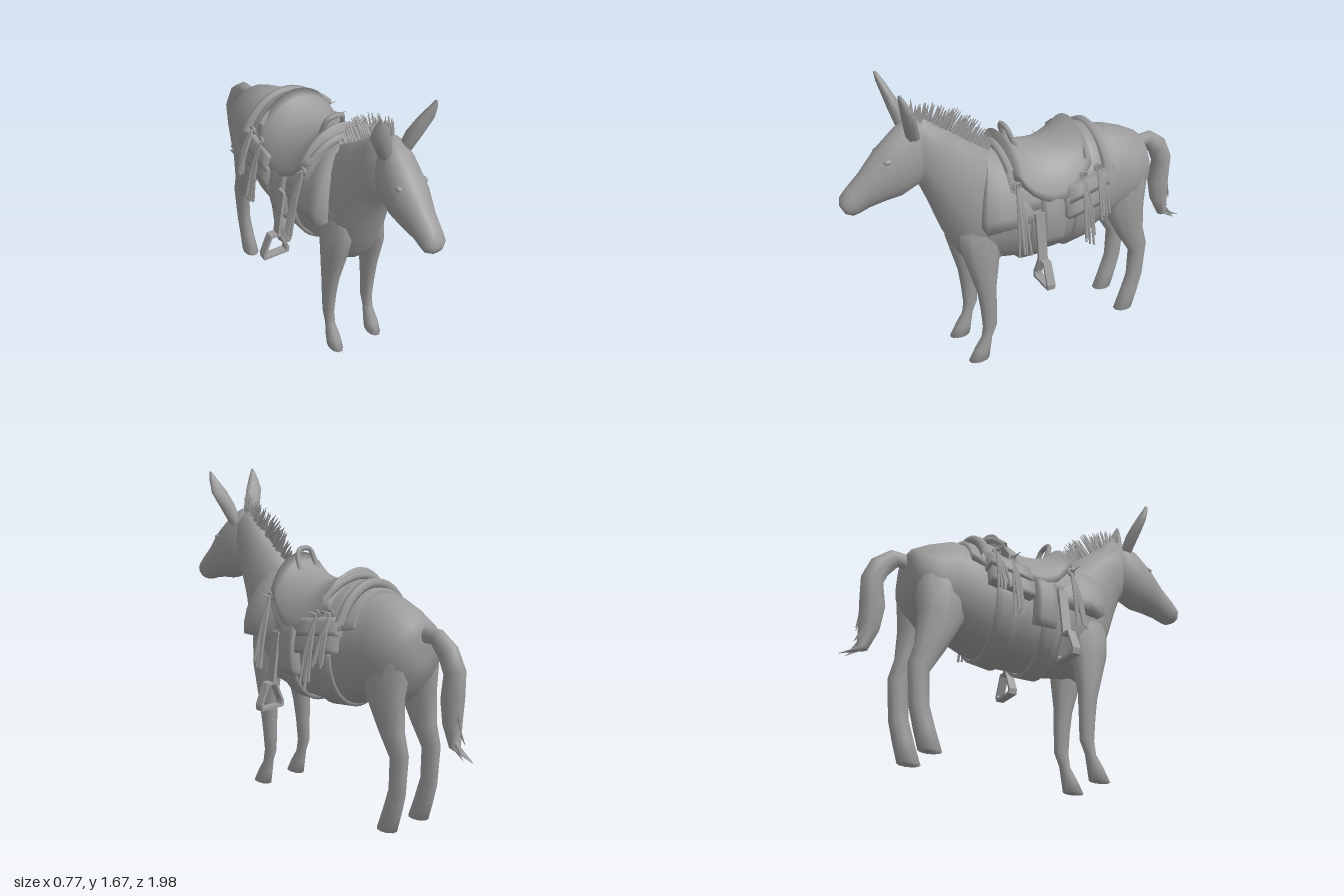
import * as THREE from 'three';

const grey = new THREE.MeshStandardMaterial({ color: 0x9c9c9c, side: THREE.DoubleSide });
const V = (x, y, z) => new THREE.Vector3(x, y, z);
const rad = THREE.MathUtils.degToRad;
let seed = 7;
const rnd = () => (seed = (seed * 16807) % 2147483647) / 2147483647;

function part(parent, name, geometry) {
  const m = new THREE.Mesh(geometry, grey);
  m.name = name;
  parent.add(m);
  return m;
}

// Skin over rows of points; closed rows get rounded end caps
function skin(rows, closed) {
  const n = rows[0].length, idx = [], pts = rows.flat();
  for (let i = 0; i < rows.length - 1; i++)
    for (let j = 0; j < (closed ? n : n - 1); j++) {
      const k = (j + 1) % n, a = i * n + j, b = i * n + k;
      idx.push(a, b, b + n, a, b + n, a + n);
    }
  if (closed) {
    const last = (rows.length - 1) * n;
    const mid = r => r.reduce((s, p) => s.add(p), V(0, 0, 0)).divideScalar(n);
    const c = pts.push(mid(rows[0]), mid(rows[rows.length - 1])) - 2;
    for (let j = 0; j < n; j++) {
      const k = (j + 1) % n;
      idx.push(c, k, j, c + 1, last + j, last + k);
    }
  }
  const g = new THREE.BufferGeometry().setFromPoints(pts);
  g.setIndex(idx);
  g.computeVertexNormals();
  return g;
}

// Ring: [z1, y1, z2, y2, halfWidth, x], an ellipse between two profile points
function loft(rings, side = 1, n = 14, shift = 0) {
  return skin(rings.map(([z1, y1, z2, y2, w, x = 0]) =>
    Array.from({ length: n }, (_, j) => {
      const t = j / n * Math.PI * 2, s = Math.sin(t) / 2;
      return V(x * side + shift + w * Math.cos(t), (y1 + y2) / 2 + (y2 - y1) * s, (z1 + z2) / 2 + (z2 - z1) * s);
    })), true);
}

const TRUNK = [
  [-.69, .86, -.695, 1.02, .08, -.02], [-.675, .75, -.67, 1.06, .145, -.02], [-.58, .64, -.58, 1.11, .182, -.02],
  [-.46, .63, -.47, 1.155, .197, -.018], [-.3, .57, -.3, 1.145, .21, -.01], [-.1, .55, -.1, 1.11, .22, 0],
  [.1, .55, .08, 1.13, .205, 0], [.25, .57, .2, 1.19, .175, 0], [.36, .61, .28, 1.19, .155, 0],
  [.43, .68, .34, 1.13, .135, 0], [.48, .8, .42, 1.02, .09, 0]];
const NECK = [[.37, .585, .1, .64, .11], [.43, .67, .1, .85, .15], [.485, .79, .12, 1.04, .155],
  [.525, .9, .2, 1.19, .137], [.56, 1.0, .34, 1.29, .108], [.6, 1.1, .46, 1.385, .087], [.68, 1.2, .57, 1.47, .075]];
const HEAD = [[.56, 1.2, .56, 1.45, .055], [.6, 1.12, .62, 1.48, .085], [.7, 1.08, .7, 1.44, .1],
  [.78, 1.075, .8, 1.35, .094], [.87, 1.06, .89, 1.25, .068], [.92, 1.045, .965, 1.18, .06],
  [.95, 1.043, 1.0, 1.14, .055], [.985, 1.06, 1.005, 1.1, .03]];
const FORELEG = [[.18, .98, .4, .98, .045, .075], [.19, .82, .445, .8, .062, .092], [.22, .67, .425, .67, .06, .108],
  [.25, .45, .355, .43, .043, .118], [.25, .32, .34, .32, .034, .12], [.25, .2, .33, .2, .027, .12],
  [.28, .13, .34, .13, .026, .12], [.29, .07, .385, .06, .036, .12], [.3, 0, .418, 0, .036, .12]];
const HINDLEG = [[-.66, 1.0, -.46, 1.0, .05, .08], [-.683, .86, -.4, .84, .083, .1], [-.662, .68, -.42, .68, .066, .115],
  [-.67, .52, -.515, .5, .047, .115], [-.7, .41, -.59, .38, .038, .115], [-.685, .2, -.585, .22, .033, .115],
  [-.66, .1, -.55, .11, .036, .115], [-.63, 0, -.512, 0, .042, .115]];
const EAR = [[.67, 1.39, .6, 1.39, .03, .05], [.7, 1.5, .63, 1.5, .049, .09], [.715, 1.57, .66, 1.565, .052, .12],
  [.73, 1.63, .69, 1.625, .028, .137], [.735, 1.675, .72, 1.675, .004, .145]];
const TAIL = [[-.66, 1.03, -.66, .95, .03, -.02], [-.78, 1.03, -.73, .95, .034, -.03], [-.87, .96, -.78, .89, .046, -.035],
  [-.92, .85, -.81, .82, .052, -.04], [-.92, .72, -.79, .7, .05, -.04], [-.915, .6, -.81, .58, .042, -.035],
  [-.915, .48, -.86, .475, .028, -.03], [-1.0, .43, -.99, .437, .005, -.025]];

// Point on the trunk at length z and angle t, pushed out by off
function onTrunk(z, deg, off) {
  const mid = r => (r[0] + r[2]) / 2;
  let i = 0;
  while (i < TRUNK.length - 2 && mid(TRUNK[i + 1]) < z) i++;
  const a = TRUNK[i], b = TRUNK[i + 1], f = (z - mid(a)) / (mid(b) - mid(a));
  const [, lo, , hi, w, x] = a.map((v, k) => v + (b[k] - v) * f), t = rad(deg);
  return V(x + (w + off) * Math.cos(t), (lo + hi) / 2 + ((hi - lo) / 2 + off) * Math.sin(t), z);
}

// Padded sheet draped on the trunk; angles and offset vary along it, lean slants the front edge
function drape(z0, z1, from, to, off, nz = 10, nt = 18, lean = 0) {
  const rows = [];
  for (let i = -1; i <= nz + 1; i++) {
    const f = THREE.MathUtils.clamp(i / nz, 0, 1), row = [];
    for (let j = -1; j <= nt + 1; j++) {
      const g = THREE.MathUtils.clamp(j / nt, 0, 1), t = from(f) + (to(f) - from(f)) * g;
      const edge = i < 0 || i > nz || j < 0 || j > nt;
      const p = onTrunk(z0 + (z1 - z0) * f, t, edge ? 0 : off(f, t));
      p.z += lean * f * Math.cos(rad(t)) ** 2;
      row.push(p);
    }
    rows.push(row);
  }
  return skin(rows, false);
}

// Rod or spike between two points
function rod(parent, name, a, b, r0, r1, sides = 5) {
  const m = part(parent, name, new THREE.CylinderGeometry(r1, r0, a.distanceTo(b), sides));
  m.position.copy(a).lerp(b, .5);
  m.quaternion.setFromUnitVectors(V(0, 1, 0), b.clone().sub(a).normalize());
}
const tube = (pts, r, n = 20) => new THREE.TubeGeometry(new THREE.CatmullRomCurve3(pts), n, r, 6);

function addAnimal(g) {
  part(g, 'trunk', loft(TRUNK, 1, 18));
  part(g, 'neck', loft(NECK));
  part(g, 'head', loft(HEAD));
  part(g, 'tail', loft(TAIL, 1, 9));
  for (const s of [1, -1]) {
    part(g, 'frontLeg', loft(FORELEG, s, 10, -.008));
    part(g, 'hindLeg', loft(HINDLEG, s, 10, -.023));
    part(g, 'ear', loft(EAR, s, 8));
    const eye = part(g, 'eye', new THREE.SphereGeometry(.022, 10, 8));
    eye.position.set(.07 * s, 1.31, .775);
    eye.scale.set(.6, .6, 1);
    const nostril = part(g, 'nostril', new THREE.TorusGeometry(.011, .004, 5, 10));
    nostril.position.set(.04 * s, 1.095, .98);
    nostril.rotation.y = .9 * s;
  }
  // Upright mane, from poll to withers
  const mane = new THREE.Group();
  mane.name = 'mane';
  g.add(mane);
  for (let i = 0; i < 80; i++) {
    const f = i / 79, x = (rnd() - .5) * .03;
    const a = V(x, 1.45 - .26 * f, .61 - .37 * f), len = .07 + .035 * rnd() + .2 * f * (.85 - f);
    const lean = .1 + .6 * Math.min(1, f * 2.5) + .3 * (rnd() - .5);
    const b = a.clone().add(V(x * .5 + (rnd() - .5) * .015, len * Math.cos(lean) + .012 * f, -len * Math.sin(lean)));
    rod(mane, 'maneTuft', a, b, .014, .002, 4);
  }
  // Loose hair at the tail end
  for (let i = 0; i < 12; i++) {
    const y = .74 - .022 * i, a = V(-.035 + (rnd() - .5) * .05, y, -.865 + (rnd() - .5) * .06);
    rod(g, 'tailHair', a, a.clone().add(V((rnd() - .5) * .03, -.13 + .006 * i, -.02 - .008 * i * rnd())), .015, .001, 4);
  }
}

function addTack(g) {
  const up = t => Math.max(0, Math.sin(rad(t))) ** 2;
  const low = f => 26 - 30 * f, high = f => 180 - low(f);
  part(g, 'blanket', drape(-.41, .25, low, high, (f, t) => .022 + .045 * f ** 3 * (1 - up(t)), 10, 18, .1));
  part(g, 'saddleSkirt', drape(-.34, .2, f => 22 - 8 * f, f => 158 + 8 * f, (f, t) => .037 + .018 * up(t)));
  part(g, 'seat', drape(-.25, .17, f => 42 - 22 * Math.sin(f * Math.PI), f => 138 + 22 * Math.sin(f * Math.PI),
    (f, t) => .047 + up(t) * (.02 + .055 * (2 * f - 1) ** 2)));
  // Raised front and rear of the saddle
  for (const [name, z, t0, off, r, tilt] of [['cantle', -.2, 48, .09, .018, -.06], ['pommel', .17, 50, .052, .022, .02], ['rearRoll', -.35, 28, .045, .026, 0]])
    part(g, name, tube(Array.from({ length: 9 }, (_, i) => {
      const t = t0 + (180 - 2 * t0) * i / 8;
      return onTrunk(z, t, off).add(V(0, 0, tilt * up(t)));
    }), r));
  part(g, 'pommelHandle', tube([V(-.06, 1.18, .09), V(-.052, 1.27, .125), V(-.035, 1.305, .135),
    V(.035, 1.305, .135), V(.052, 1.27, .125), V(.06, 1.18, .09)], .014));

  // Girths under the belly
  part(g, 'frontGirth', drape(-.01, .09, () => -185, () => 5, () => .02, 3, 22));
  part(g, 'rearGirth', drape(-.28, -.16, () => -185, () => 5, () => .018, 3, 22));

  const outline = (...pts) => pts.map(p => new THREE.Vector2(...p));
  const shape = new THREE.Shape(outline([-.072, 0], [.072, 0], [.076, .03], [.03, .14], [-.03, .14], [-.076, .03]));
  shape.holes.push(new THREE.Path(outline([-.056, .014], [-.06, .032], [-.022, .126], [.022, .126], [.06, .032], [.056, .014])));
  for (const s of [1, -1]) {
    const span = (a, b) => s > 0 ? [() => a, () => b] : [() => 180 - b, () => 180 - a];
    part(g, 'saddlebag', drape(-.33, -.09, ...span(2, 22), () => .055, 4, 5));
    part(g, 'bagFlap', drape(-.34, -.1, ...span(17, 33), () => .062, 4, 4));
    part(g, 'fender', drape(-.07, .05, ...span(-22, 36), () => .05, 4, 8));
    // Stirrup and its leather
    const leather = part(g, 'stirrupLeather', new THREE.BoxGeometry(.016, .27, .05));
    leather.position.set(.278 * s - .008, .785, .07);
    leather.rotation.z = .14 * s;
    const stirrup = part(g, 'stirrup', new THREE.ExtrudeGeometry(shape, { depth: .045, bevelEnabled: false }));
    stirrup.position.set(.31 * s - .01, .525, .045);
    // Tie straps with fringes
    for (const z of [.17, -.2, -.29]) {
      const top = onTrunk(z, s > 0 ? 36 : 144, .062);
      const knot = part(g, 'strapKnot', new THREE.TorusGeometry(.018, .008, 5, 8));
      knot.position.copy(top);
      knot.rotation.y = Math.PI / 2;
      for (let i = 0; i < 5; i++) {
        const dz = (i - 2) * .009, drop = (z < -.25 ? .23 : .32) + .05 * rnd();
        part(g, 'strap', tube([top, top.clone().add(V(.05 * s, -drop * .4, dz)),
          top.clone().add(V((.075 + .03 * rnd()) * s, -drop, dz * 1.5))], .007, 5));
      }
      rod(g, 'strapEnd', top, top.clone().add(V(.05 * s, .02, .02)), .006, .002, 4);
    }
  }
}

export function createModel() {
  const model = new THREE.Group();
  model.name = 'saddledDonkey';
  const animal = new THREE.Group(), tack = new THREE.Group();
  animal.name = 'animal';
  tack.name = 'saddleTack';
  addAnimal(animal);
  addTack(tack);
  model.add(animal, tack);
  model.rotation.y = .15; // stands slightly turned
  return model;
}
